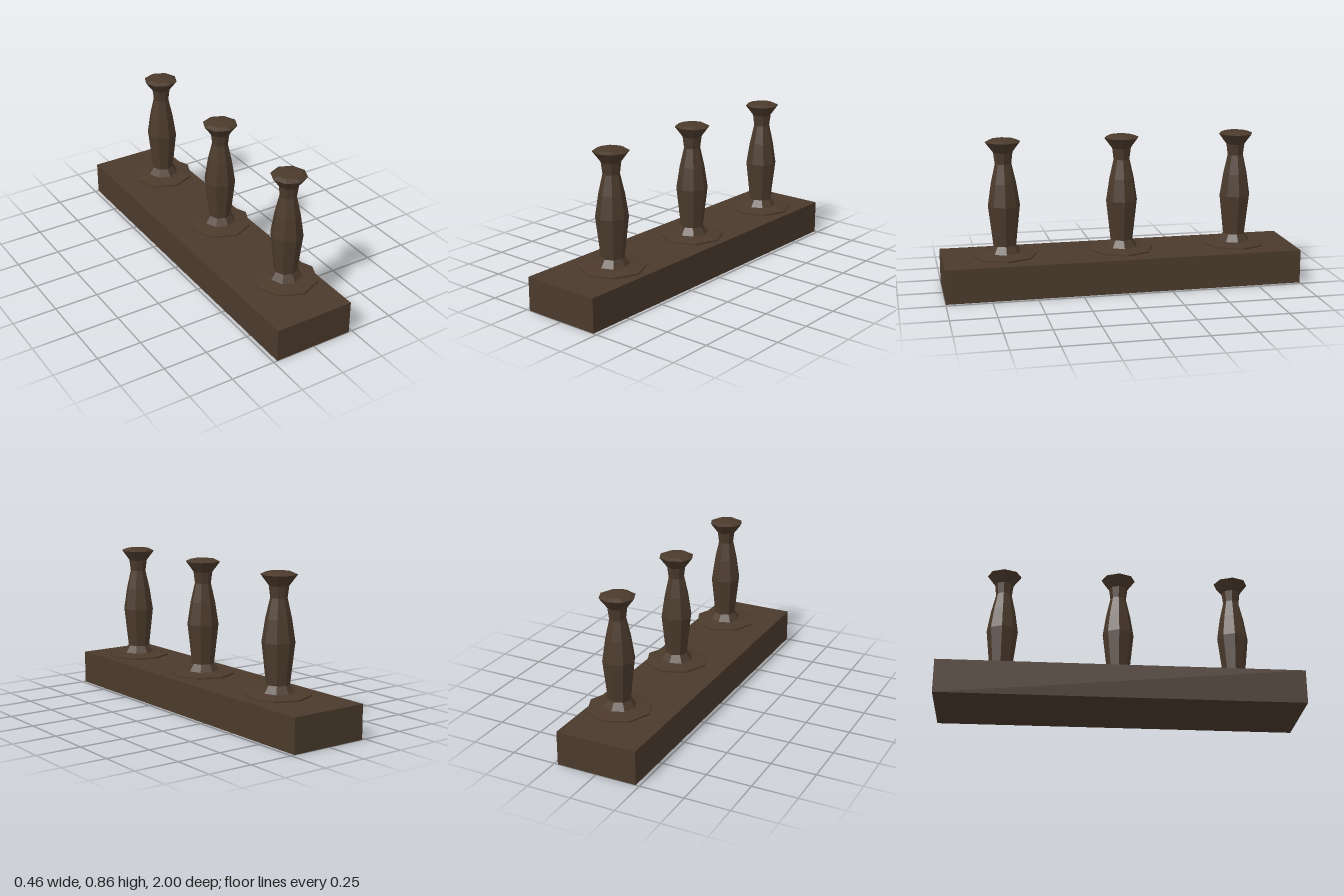
import * as THREE from 'three';

export function createModel() {
  const model = new THREE.Group();
  const darkWood = new THREE.MeshStandardMaterial({ color: 0x4b3a2c, flatShading: true });
  darkWood.name = 'darkWood';

  // Long rectangular mounting board
  const board = new THREE.Mesh(new THREE.BoxGeometry(0.458, 0.19, 2), darkWood);
  board.name = 'board';
  board.position.y = 0.095;
  model.add(board);

  // Turned eight-sided peg: flange, foot, swelling shaft, neck, flared cap
  const profile = [
    [0, 0.195], [0.128, 0.2], [0.178, 0.21], [0.178, 0.219], [0.09, 0.23],
    [0.063, 0.27], [0.088, 0.493], [0.069, 0.617], [0.045, 0.723],
    [0.053, 0.786], [0.097, 0.844], [0.07, 0.856], [0, 0.861],
  ].map(([r, y]) => new THREE.Vector2(r, y));
  const pegGeometry = new THREE.LatheGeometry(profile, 8);

  // Three pegs in a row, slightly off the board's centre line
  ['backPeg', 'middlePeg', 'frontPeg'].forEach((name, i) => {
    const peg = new THREE.Mesh(pegGeometry, darkWood);
    peg.name = name;
    peg.position.set(0.051, 0, (i - 1) * 0.657);
    model.add(peg);
  });

  return model;
}
